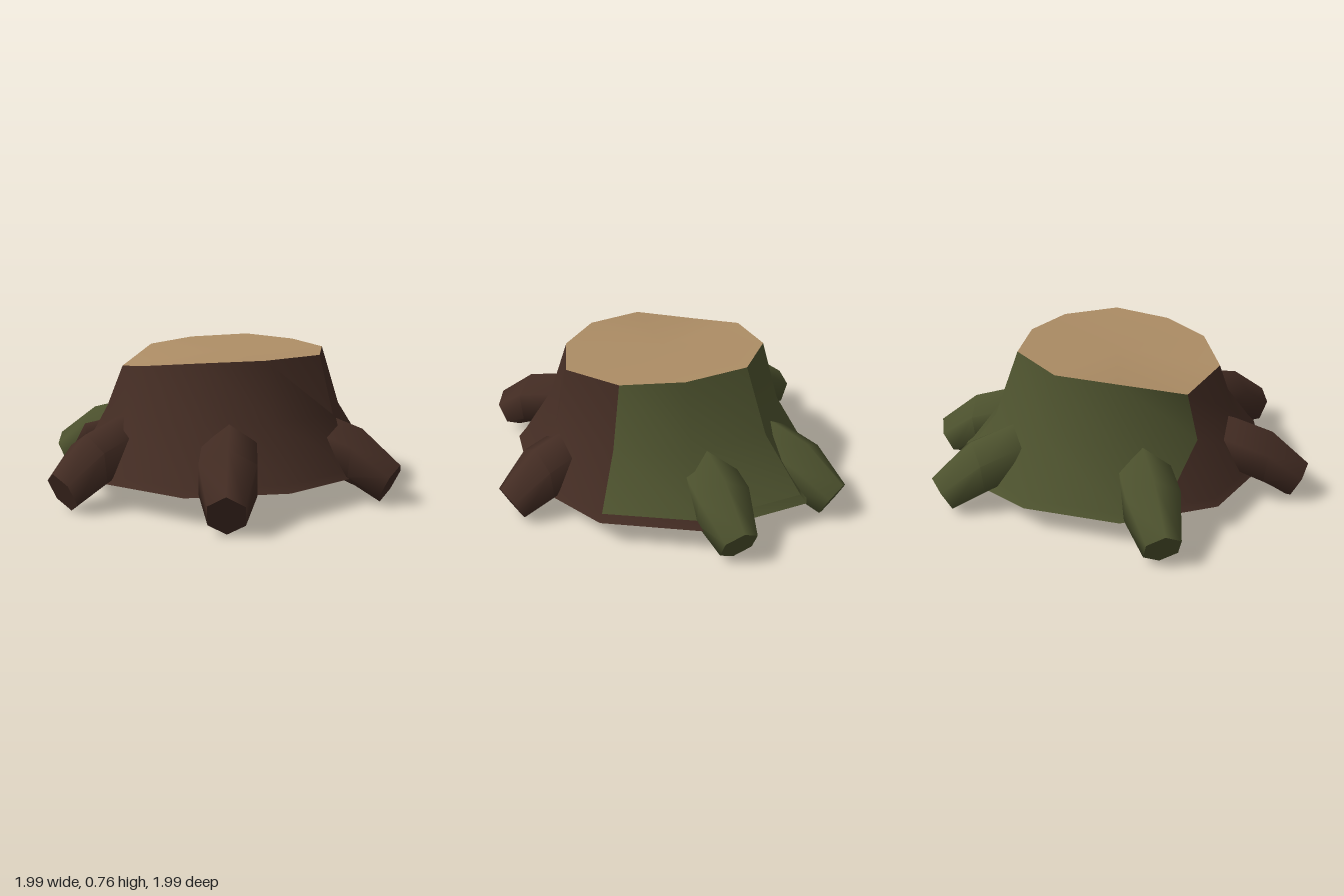
import * as THREE from 'three';
import { toCreasedNormals } from 'three/addons/utils/BufferGeometryUtils.js';

// The stump is an open shell, so its inside shows from below
const material = (name, color) => new THREE.MeshStandardMaterial({ name, color, side: THREE.DoubleSide });
const bark = material('bark', 0x432c23);
const moss = material('moss', 0x4d522e);
const cutWood = material('cutWood', 0xad8d65);
const BARK = 0, MOSS = 1;

// Collects triangles per material and turns them into one grouped mesh
function makeMesh(name, materials, crease, fill) {
  const lists = materials.map(() => []);
  const tri = (m, a, b, c) => {
    const area = b.clone().sub(a).cross(c.clone().sub(a)).length();
    if (area > 1e-6) lists[m].push(...a.toArray(), ...b.toArray(), ...c.toArray());
  };
  fill(tri);
  const geo = new THREE.BufferGeometry();
  geo.setAttribute('position', new THREE.Float32BufferAttribute(lists.flat(), 3));
  let start = 0;
  lists.forEach((l, m) => {
    if (l.length) geo.addGroup(start, l.length / 3, m);
    start += l.length / 3;
  });
  const mesh = new THREE.Mesh(toCreasedNormals(geo, crease), materials);
  mesh.name = name;
  return mesh;
}

// Skins successive rings; colour(row, column, half) picks the material
function loft(tri, rings, colour) {
  for (let r = 0; r < rings.length - 1; r++) {
    const a = rings[r], b = rings[r + 1], n = a.length;
    for (let i = 0; i < n; i++) {
      const j = (i + 1) % n;
      tri(colour(r, i, 0), a[i], a[j], b[i]);
      tri(colour(r, i, 1), a[j], b[j], b[i]);
    }
  }
}

const v = (x, y, z) => new THREE.Vector3(x, y, z);

// Stump outlines, clockwise from the back; column 8 is the slanting moss edge
const topRing = [
  [-0.16, 0.765, -0.51], [0.17, 0.755, -0.46], [0.44, 0.74, -0.29], [0.57, 0.73, 0.01],
  [0.42, 0.72, 0.30], [0.17, 0.71, 0.48], [-0.16, 0.68, 0.53], [-0.43, 0.645, 0.34],
  [-0.43, 0.645, 0.34], [-0.49, 0.73, 0], [-0.42, 0.75, -0.31],
].map(p => v(...p));
const baseRing = [
  [-0.28, -0.89], [0.28, -0.80], [0.67, -0.47], [0.81, 0], [0.66, 0.48], [0.28, 0.81],
  [-0.22, 0.80], [-0.64, 0.49], [-0.72, 0.21], [-0.78, 0], [-0.64, -0.47],
].map(([x, z]) => v(x, 0.13, z));

function ringBetween(t, y) {
  return topRing.map((p, i) => {
    const q = p.clone().lerp(baseRing[i === 8 && t < 0.5 ? 7 : i], t);
    q.y = y;
    return q;
  });
}

function makeStump() {
  const rings = [topRing, ringBetween(0.33, 0.43), ringBetween(0.9, 0.165), baseRing];
  return makeMesh('stump', [bark, moss], 0.75, tri =>
    loft(tri, rings, (row, i) => {
      if (i === 1 && row === 2) return BARK; // bare strip below the moss
      return i >= 8 || i <= 1 ? MOSS : BARK;
    }));
}

// Sawn face closing the top
function makeCutTop() {
  const centre = v(0, 0.722, 0);
  return makeMesh('cutTop', [cutWood], 1.2, tri =>
    topRing.forEach((p, i) => tri(0, centre, topRing[(i + 1) % topRing.length], p)));
}

// Six-sided root running from the hub out to a blunt, tilted end
function makeRoot(name, [ax, az], [bx, bz], isBare) {
  const out = v(bx - ax, 0, bz - az).normalize();
  const side = v(-out.z, 0, out.x);
  const ring = (x, y, z, height, width, lean) => Array.from({ length: 6 }, (_, k) => {
    const t = k * Math.PI / 3, c = Math.cos(t) * height;
    return v(x, y + c, z)
      .addScaledVector(out, c * lean)
      .addScaledVector(side, Math.sin(t) * width / 0.866);
  });
  const rings = [
    ring(ax * 0.05, 0.26, az * 0.05, 0.07, 0.07, 0),
    ring(ax * 0.55, 0.3, az * 0.55, 0.155, 0.12, 0),
    ring(ax, 0.267, az, 0.157, 0.13, -0.1),
    ring((ax + bx) / 2, 0.215, (az + bz) / 2, 0.15, 0.135, 0.1),
    ring(bx, 0.1, bz, 0.1, 0.085, 0.5),
  ];
  const end = v(bx, 0.1, bz);
  return makeMesh(name, [bark, moss], 1.15, tri => {
    loft(tri, rings, (...place) => (isBare(...place) ? BARK : MOSS));
    rings[4].forEach((p, i, ring) =>
      tri(isBare(4, i, 0) ? BARK : MOSS, end, p, ring[(i + 1) % 6]));
  });
}

// Where bark shows on a root
const allBare = () => true;
const bareBelow = (row, i) => row === 1 && (i === 2 || i === 3);
const bareLeft = (row, i) => row === 1 && (i === 1 || i === 2);
const bareFlank = (row, i, half) =>
  bareLeft(row, i) || (i === 4 && (row === 2 || (row === 3 && half === 0)));

export function createModel() {
  const group = new THREE.Group();
  group.name = 'treeStump';
  group.add(makeStump(), makeCutTop());

  const roots = [
    ['rightMossyRoot', [-0.58, 0.12], [-0.95, 0.195], bareFlank],
    ['backRightMossyRoot', [-0.32, -0.56], [-0.445, -0.9], bareBelow],
    ['backLeftMossyRoot', [0.13, -0.6], [0.185, -0.945], bareLeft],
    ['leftRoot', [0.61, -0.03], [0.945, -0.045], allBare],
    ['frontLeftRoot', [0.36, 0.54], [0.54, 0.86], allBare],
    ['frontRightRoot', [-0.26, 0.63], [-0.335, 0.945], allBare],
  ];
  for (const r of roots) group.add(makeRoot(...r));
  return group;
}
